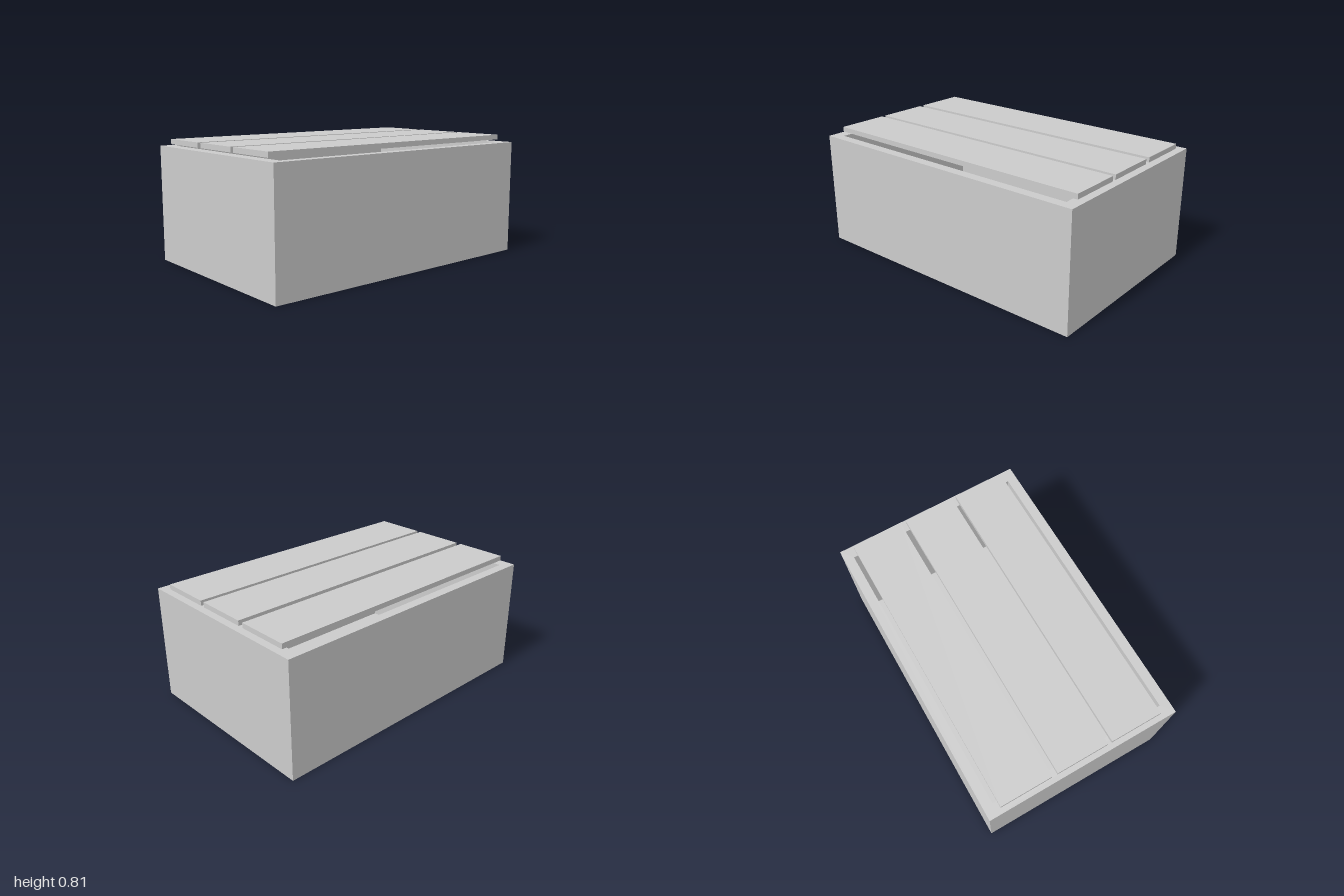
import * as THREE from 'three';

const material = new THREE.MeshStandardMaterial({ color: 0xcccccc, flatShading: true });

function addMesh(parent, name, geometry, x, y, z) {
  const mesh = new THREE.Mesh(geometry, material);
  mesh.name = name;
  mesh.position.set(x, y, z);
  parent.add(mesh);
}

function rectangle(Type, w, d) {
  return new Type([[-w, -d], [w, -d], [w, d], [-w, d]].map(([x, y]) => new THREE.Vector2(x / 2, y / 2)));
}

export function createModel() {
  const model = new THREE.Group();
  model.name = 'crate';

  const width = 1.3, depth = 2, height = 0.767;
  const innerWidth = 1.174, innerDepth = 1.84, floorThickness = 0.01;

  // Four thick walls around a deep rectangular cavity
  const outline = rectangle(THREE.Shape, width, depth);
  outline.holes.push(rectangle(THREE.Path, innerWidth, innerDepth));
  const walls = new THREE.ExtrudeGeometry(outline, { depth: height, bevelEnabled: false });
  walls.rotateX(-Math.PI / 2);
  addMesh(model, 'walls', walls, 0, 0, 0);

  // Thin floor closing the cavity
  addMesh(model, 'floor', new THREE.BoxGeometry(innerWidth, floorThickness, innerDepth), 0, floorThickness / 2, 0);

  // Three lid slats resting just above the rim
  const lid = new THREE.Group();
  lid.name = 'lid';
  model.add(lid);
  for (const x of [-0.385, 0, 0.378]) {
    addMesh(lid, 'lidSlat', new THREE.BoxGeometry(0.348, 0.033, 1.934), x, 0.7975, 0);
  }

  return model;
}
